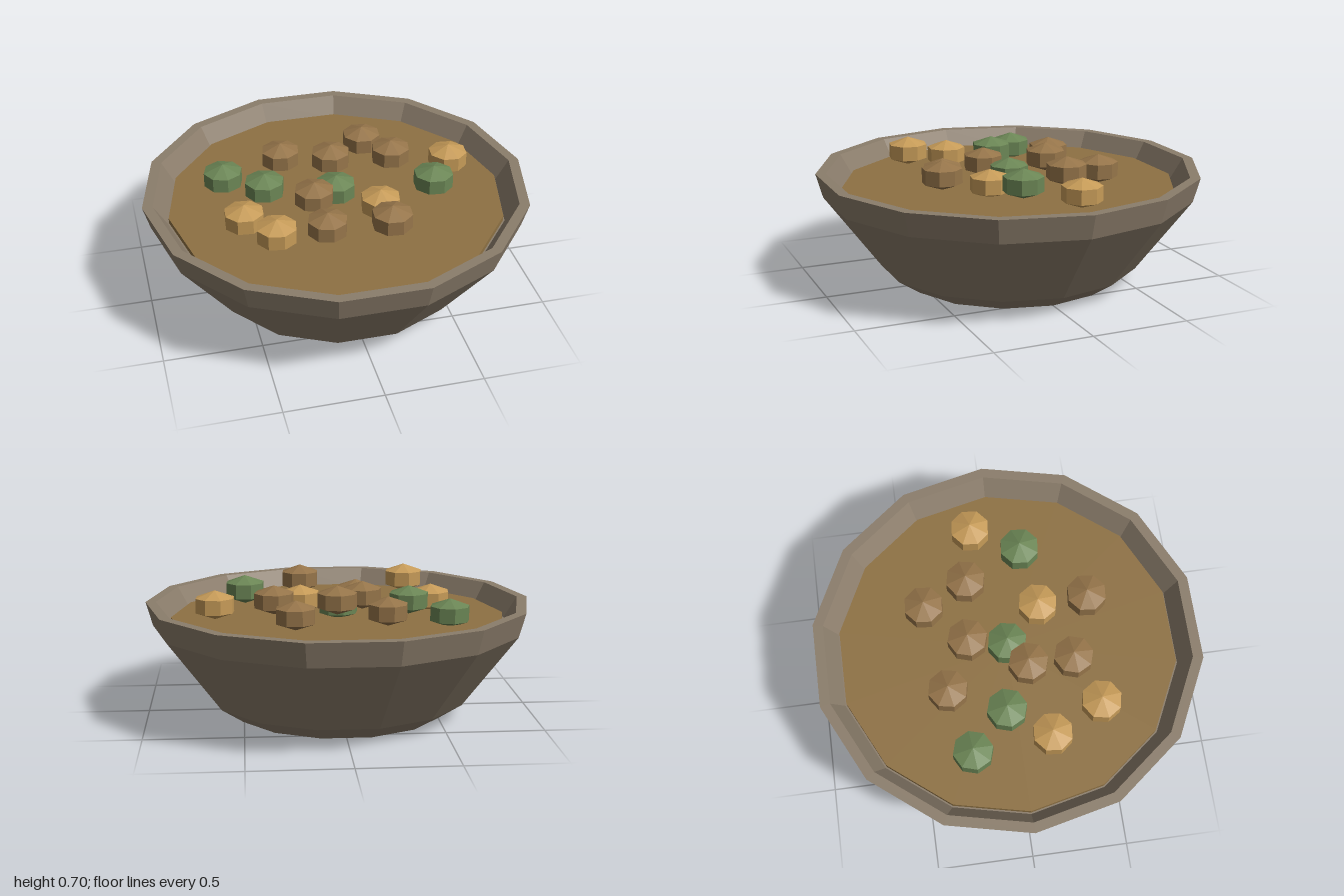
import * as THREE from 'three';

const SIDES = 14;

function flat(name, color) {
  const m = new THREE.MeshStandardMaterial({ color, flatShading: true });
  m.name = name;
  return m;
}

export function createModel() {
  const group = new THREE.Group();
  group.name = 'bowlOfStew';

  const stone = flat('stone', 0x8b7d6b);
  const broth = flat('broth', 0x8e7143);
  const chunk = {
    brown: flat('brownChunk', 0x96754a),
    gold: flat('goldChunk', 0xc69b58),
    green: flat('greenChunk', 0x6b8655),
  };

  // Faceted bowl: closed base, flared outside, flat rim, sloping inner wall
  const profile = [
    [0, 0], [0.56, 0], [0.68, 0.08], [0.965, 0.46], [1, 0.585],
    [0.947, 0.585], [0.88, 0.475], [0, 0.475],
  ].map(([r, y]) => new THREE.Vector2(r, y));
  const bowl = new THREE.Mesh(new THREE.LatheGeometry(profile, SIDES, Math.PI / 2), stone);
  bowl.name = 'bowl';
  group.add(bowl);

  // Broth surface
  const soup = new THREE.Mesh(
    new THREE.CylinderGeometry(0.872, 0.872, 0.03, SIDES, 1, false, Math.PI / 2), broth);
  soup.name = 'broth';
  soup.position.y = 0.487;
  group.add(soup);

  // Floating chunks: squashed eight-sided spheres [kind, x, z, top height]
  const chunks = [
    ['green', -0.55, -0.245, 0.63], ['brown', -0.225, -0.33, 0.663], ['brown', 0.24, -0.40, 0.663],
    ['brown', 0.02, -0.20, 0.696], ['brown', 0.34, -0.17, 0.696], ['gold', 0.64, -0.11, 0.663],
    ['green', -0.365, -0.05, 0.663], ['green', 0, 0, 0.63], ['gold', -0.51, 0.16, 0.63],
    ['brown', -0.135, 0.09, 0.663], ['gold', 0.19, 0.185, 0.63], ['green', 0.485, 0.13, 0.696],
    ['brown', -0.12, 0.325, 0.63], ['gold', -0.395, 0.42, 0.696], ['brown', 0.18, 0.435, 0.696],
  ];
  const HALF = 0.075;
  const chunkShape = new THREE.SphereGeometry(0.118, 8, 3);
  chunkShape.scale(1, HALF / 0.118, 1);
  chunks.forEach(([kind, x, z, top], i) => {
    const piece = new THREE.Mesh(chunkShape, chunk[kind]);
    piece.name = `${kind}Chunk${i + 1}`;
    piece.position.set(x, top - HALF, z);
    piece.rotation.y = 0.1 + (i % 3) * 0.1;
    group.add(piece);
  });

  return group;
}
